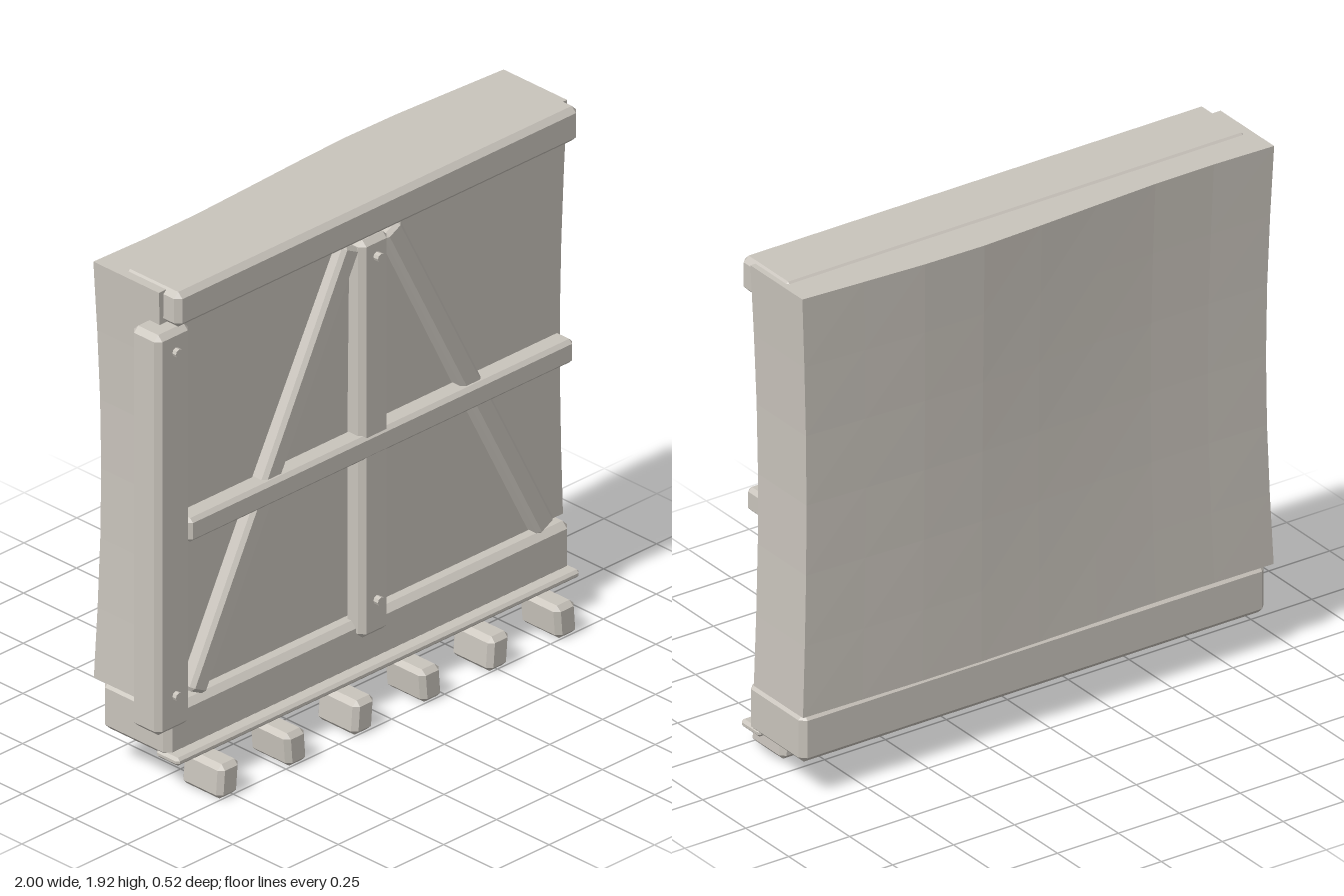
import * as THREE from 'three';
import { ConvexGeometry } from 'three/addons/geometries/ConvexGeometry.js';

const stone = new THREE.MeshStandardMaterial({ color: 0xc9c4bc, flatShading: true });
stone.name = 'warm grey';

// Box with chamfered edges, as the hull of three shrunken boxes.
function chamferBox(w, h, d, c) {
  const points = [];
  for (const sx of [-1, 1]) for (const sy of [-1, 1]) for (const sz of [-1, 1]) {
    for (const [a, b, e] of [[0, c, c], [c, 0, c], [c, c, 0]]) {
      points.push(new THREE.Vector3(sx * (w / 2 - a), sy * (h / 2 - b), sz * (d / 2 - e)));
    }
  }
  return new ConvexGeometry(points);
}

// Linear interpolation through [position, value] pairs.
function profile(pairs, t) {
  for (let i = 1; i < pairs.length; i++) {
    const [t0, v0] = pairs[i - 1], [t1, v1] = pairs[i];
    if (t <= t1 || i === pairs.length - 1) return v0 + (v1 - v0) * (t - t0) / (t1 - t0);
  }
}

export function createModel() {
  const group = new THREE.Group();
  group.name = 'framedWall';

  const add = (name, geometry, x, y, z) => {
    const mesh = new THREE.Mesh(geometry, stone);
    mesh.name = name;
    mesh.position.set(x, y, z);
    group.add(mesh);
    return mesh;
  };
  // Beam given by its extents on each axis
  const beam = (name, [x0, x1], [y0, y1], [z0, z1], c = 0.02) =>
    add(name, chamferBox(x1 - x0, y1 - y0, z1 - z0, c), (x0 + x1) / 2, (y0 + y1) / 2, (z0 + z1) / 2);

  // Wall slab: wavy back, ends drawn in at mid height, front leaning slightly
  const wall = new THREE.BoxGeometry(1.93, 1.585, 1, 8, 6, 1);
  const pos = wall.attributes.position;
  const back = [[-0.97, -0.232], [-0.6, -0.22], [-0.2, -0.238], [0.2, -0.258], [0.5, -0.252], [0.97, -0.222]];
  for (let i = 0; i < pos.count; i++) {
    const x = pos.getX(i), t = pos.getY(i) / 1.585 + 0.5;
    const pinch = 0.025 * Math.sin(Math.PI * t);
    const z = pos.getZ(i) > 0
      ? 0.06 + 0.02 * t
      : -0.228 + (profile(back, x) + 0.228) * (0.35 + 0.65 * t) + 0.012 * Math.sin(Math.PI * t);
    pos.setX(i, x * (1 - pinch));
    pos.setZ(i, z);
  }
  add('wall', wall, 0.033, 1.1225, 0);

  // Horizontal beams
  beam('topBeam', [-0.91, 0.99], [1.79, 1.922], [-0.12, 0.15]);
  beam('baseBeam', [-0.92, 0.99], [0.14, 0.325], [-0.21, 0.11], 0.022);
  beam('baseLip', [-0.92, 0.985], [0.13, 0.16], [0.05, 0.158], 0.01);
  beam('middleRail', [-0.85, 0.97], [0.95, 1.04], [0.06, 0.146], 0.014);

  // Upright posts
  beam('cornerPost', [-1, -0.84], [0.265, 1.79], [0.01, 0.145]);
  beam('centrePost', [-0.03, 0.105], [0.265, 1.78], [0.05, 0.14]);

  // Diagonal braces, mirrored about the centre post
  for (const side of [-1, 1]) {
    const brace = add('brace', chamferBox(0.085, 1.6, 0.07, 0.014), 0.04 + side * 0.46, 1.06, 0.09);
    brace.rotation.z = side * Math.atan2(0.72, 1.4);
  }

  // Pegs through the posts
  for (const x of [-0.917, 0.038]) for (const y of [0.4, 1.71]) {
    const peg = add('peg', new THREE.CylinderGeometry(0.016, 0.016, 0.06, 8), x, y, 0.132);
    peg.rotation.x = Math.PI / 2;
  }

  // Row of bracket blocks under the base
  for (let i = 0; i < 6; i++) {
    const block = chamferBox(0.095, 0.127, 0.19, 0.018);
    const p = block.attributes.position;
    for (let j = 0; j < p.count; j++) p.setX(j, p.getX(j) + p.getY(j) * 0.08 * (i % 2 ? -1 : 1));
    add('bracketBlock', block, -0.77 + i * 0.319, 0.0635, 0.163);
  }
  return group;
}
